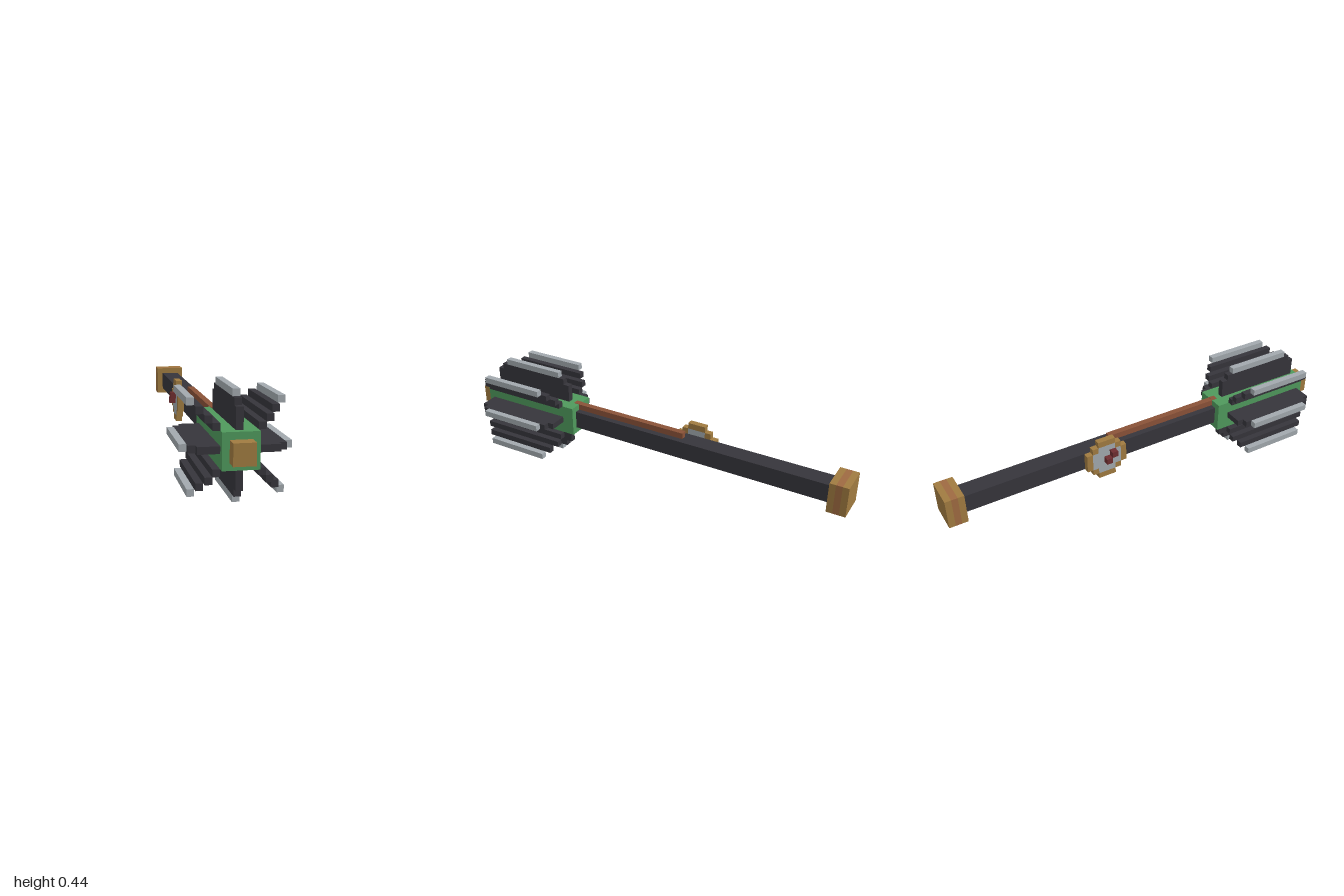
import * as THREE from 'three';

const U = 2 / 68;          // one block
const CY = 7.5 * U;        // height of the shaft axis

const mat = (name, color) => Object.assign(new THREE.MeshStandardMaterial({ color }), { name });

export function createModel() {
  const green = mat('green', 0x4f995c);
  const ochre = mat('ochre', 0xa07b40);
  const dark = mat('charcoal', 0x36353b);
  const steel = mat('steel', 0xa2a9ae);
  const brown = mat('brown', 0x8a5238);
  const copper = mat('copper', 0x9e6a41);
  const red = mat('darkRed', 0x6e2d30);

  const model = new THREE.Group();
  model.name = 'mace';

  // Box in block units: centre x, y from the shaft axis, and a z range
  const box = (parent, name, material, x, y, w, h, z0, z1) => {
    const mesh = new THREE.Mesh(new THREE.BoxGeometry(w * U, h * U, (z1 - z0) * U), material);
    mesh.position.set(x * U, CY + y * U, ((z0 + z1) / 2) * U);
    mesh.name = name;
    parent.add(mesh);
    return mesh;
  };

  // Shaft and head core
  box(model, 'shaft', dark, 0, 0, 3, 3, -31, 14);
  box(model, 'headCore', green, 0, 0, 5, 5, 14, 32);
  box(model, 'headTip', ochre, 0, 0, 3, 3, 32, 34);

  // Pommel with a copper band
  box(model, 'pommelEnd', ochre, 0, 0, 5, 5, -34, -33);
  box(model, 'pommelBand', copper, 0, 0, 5, 5, -33, -32);
  box(model, 'pommelCollar', ochre, 0, 0, 5, 5, -32, -31);

  // Strip along the top of the shaft, let into the head
  box(model, 'topStrip', brown, 0, 2, 1, 1, -6, 14);
  box(model, 'stripInlay', brown, 0, 2.5, 1, 0.1, 14, 15);

  // Eight flanges: four straight, four stepped diagonally, each with a steel edge
  for (let i = 0; i < 8; i++) {
    const dx = Math.round(Math.cos((i * Math.PI) / 4));
    const dy = Math.round(Math.sin((i * Math.PI) / 4));
    const flange = new THREE.Group();
    flange.name = 'flange';
    model.add(flange);
    const last = dx && dy ? 6 : 7;
    for (let r = 3; r <= last; r++) {
      const inset = Math.max(0, r - last + 2);
      const edge = r === last;
      box(flange, edge ? 'flangeEdge' : 'flangeStep', edge ? steel : dark,
        dx * r, dy * r, 1, 1, 16 + inset, 31 - inset);
    }
  }

  // Round shield on the side of the shaft: stepped rim around a steel face
  const shield = new THREE.Group();
  shield.name = 'shield';
  model.add(shield);
  const rimHalf = [3.5, 3.5, 2.5, 1.5];
  const faceHalf = [2.5, 2.5, 1.5, 0];
  for (let y = -3; y <= 3; y++) {
    const R = rimHalf[Math.abs(y)], F = faceHalf[Math.abs(y)], c = -7.5;
    if (F) {
      box(shield, 'shieldFace', steel, -2, y, 1, 1, c - F, c + F);
      box(shield, 'shieldRim', ochre, -2, y, 1, 1, c - R, c - F);
      box(shield, 'shieldRim', ochre, -2, y, 1, 1, c + F, c + R);
    } else {
      box(shield, 'shieldRim', ochre, -2, y, 1, 1, c - R, c + R);
    }
  }

  // Red studs on the shield
  box(shield, 'shieldStud', red, -3, 1, 1, 1, -7, -6);
  box(shield, 'shieldStud', red, -3, 0, 1, 1, -8, -7);

  return model;
}
